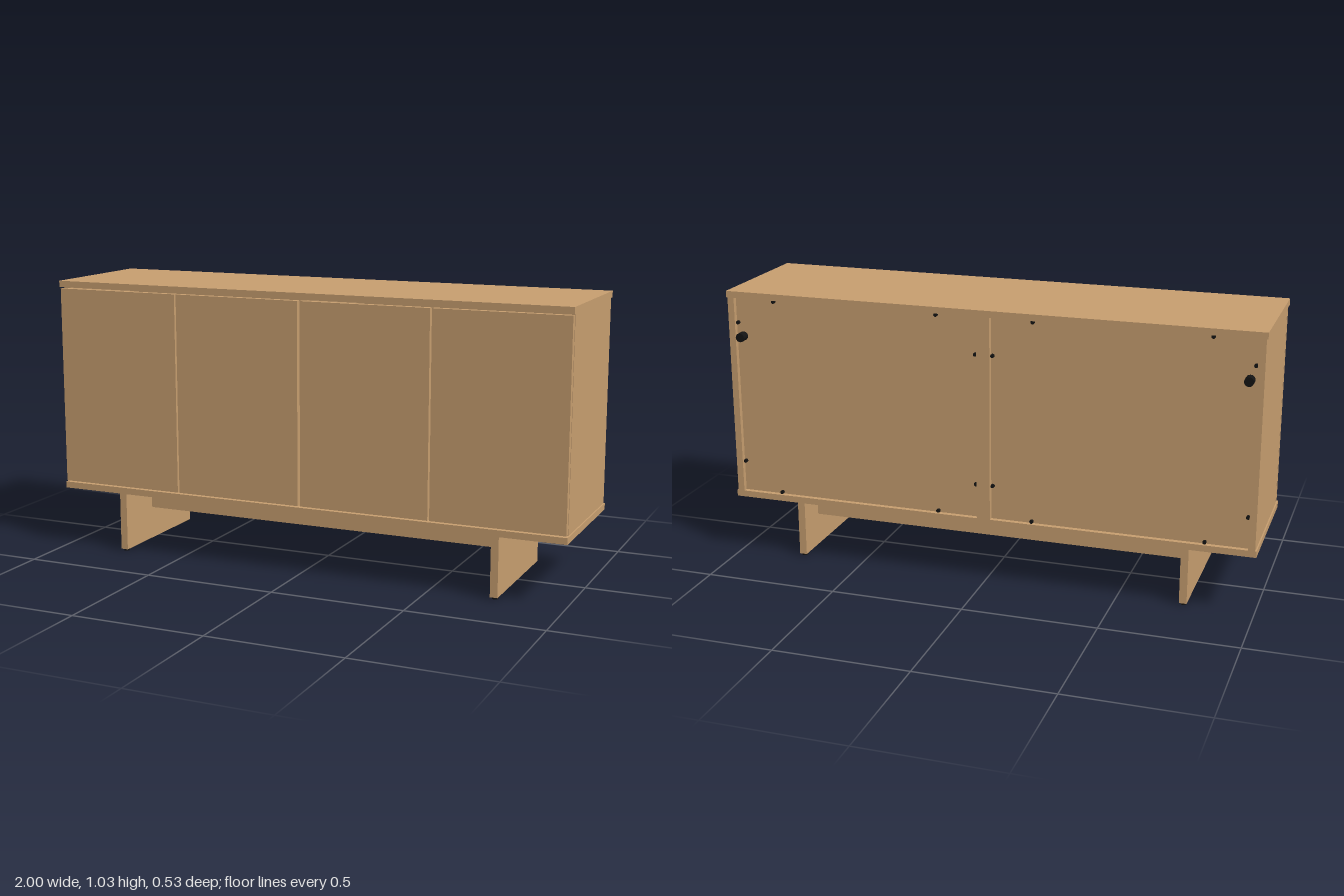
import * as THREE from 'three';

export function createModel() {
  const group = new THREE.Group();
  const wood = new THREE.MeshStandardMaterial({ color: 0xc89f70 });
  wood.name = 'oak wood';
  const black = new THREE.MeshStandardMaterial({ color: 0x141414 });
  black.name = 'black plastic';

  // Box given by its lower and upper limits on each axis
  function box(name, x0, x1, y0, y1, z0, z1, material = wood) {
    const mesh = new THREE.Mesh(new THREE.BoxGeometry(x1 - x0, y1 - y0, z1 - z0), material);
    mesh.position.set((x0 + x1) / 2, (y0 + y1) / 2, (z0 + z1) / 2);
    mesh.name = name;
    group.add(mesh);
  }

  // Box placed on both sides of the centre line
  function pair(name, x0, x1, ...rest) {
    box(name + 'Left', x0, x1, ...rest);
    box(name + 'Right', -x1, -x0, ...rest);
  }

  // Round black fitting; axis along y, or along z when turned
  function disc(name, radius, length, x, y, z, turned) {
    const mesh = new THREE.Mesh(new THREE.CylinderGeometry(radius, radius, length, 16), black);
    mesh.position.set(x, y, z);
    if (turned) mesh.rotation.x = Math.PI / 2;
    mesh.name = name;
    group.add(mesh);
  }

  // Cabinet carcass
  box('topPanel', -1, 1, 1.011, 1.035, -0.252, 0.267);
  box('bottomPanel', -1, 1, 0.228, 0.252, -0.252, 0.267);
  pair('sidePanel', 0.97, 0.995, 0.252, 1.011, -0.252, 0.239);
  box('centreDivider', -0.025, 0.025, 0.252, 1.011, -0.252, 0.239);
  pair('backPanel', 0.025, 0.97, 0.252, 1.011, -0.234, -0.225);

  // Four doors with narrow gaps
  pair('innerDoor', 0.005, 0.496, 0.257, 1.006, 0.244, 0.266);
  pair('outerDoor', 0.503, 0.995, 0.257, 1.006, 0.244, 0.266);
  for (const y of [0.435, 0.835]) {
    pair('hinge', 0.974, 0.99, y - 0.018, y + 0.018, 0.239, 0.244, black);
  }

  // Base: two slab legs joined by two rails
  pair('leg', 0.73, 0.758, 0.008, 0.228, -0.227, 0.265);
  box('rearRail', -0.73, 0.73, 0.132, 0.228, -0.11, -0.085);
  box('frontRail', -0.73, 0.73, 0.132, 0.228, 0.05, 0.075);

  for (const s of [-1, 1]) {
    // Glides under the legs
    for (const z of [0.247, -0.21]) disc('footGlide', 0.0115, 0.008, s * 0.744, 0.004, z, false);

    // Wall spacers at the upper back corners
    disc('wallSpacer', 0.017, 0.033, s * 0.945, 0.864, -0.2505, true);

    // Clips around the back panels
    for (const x of [0.18, 0.815]) {
      for (const y of [0.259, 1.004]) disc('backClip', 0.007, 0.012, s * x, y, -0.238, true);
    }
    for (const y of [0.38, 0.87]) disc('backClip', 0.007, 0.012, s * 0.032, y, -0.238, true);
    for (const y of [0.37, 0.915]) disc('backClip', 0.007, 0.012, s * 0.963, y, -0.238, true);
  }

  return group;
}
